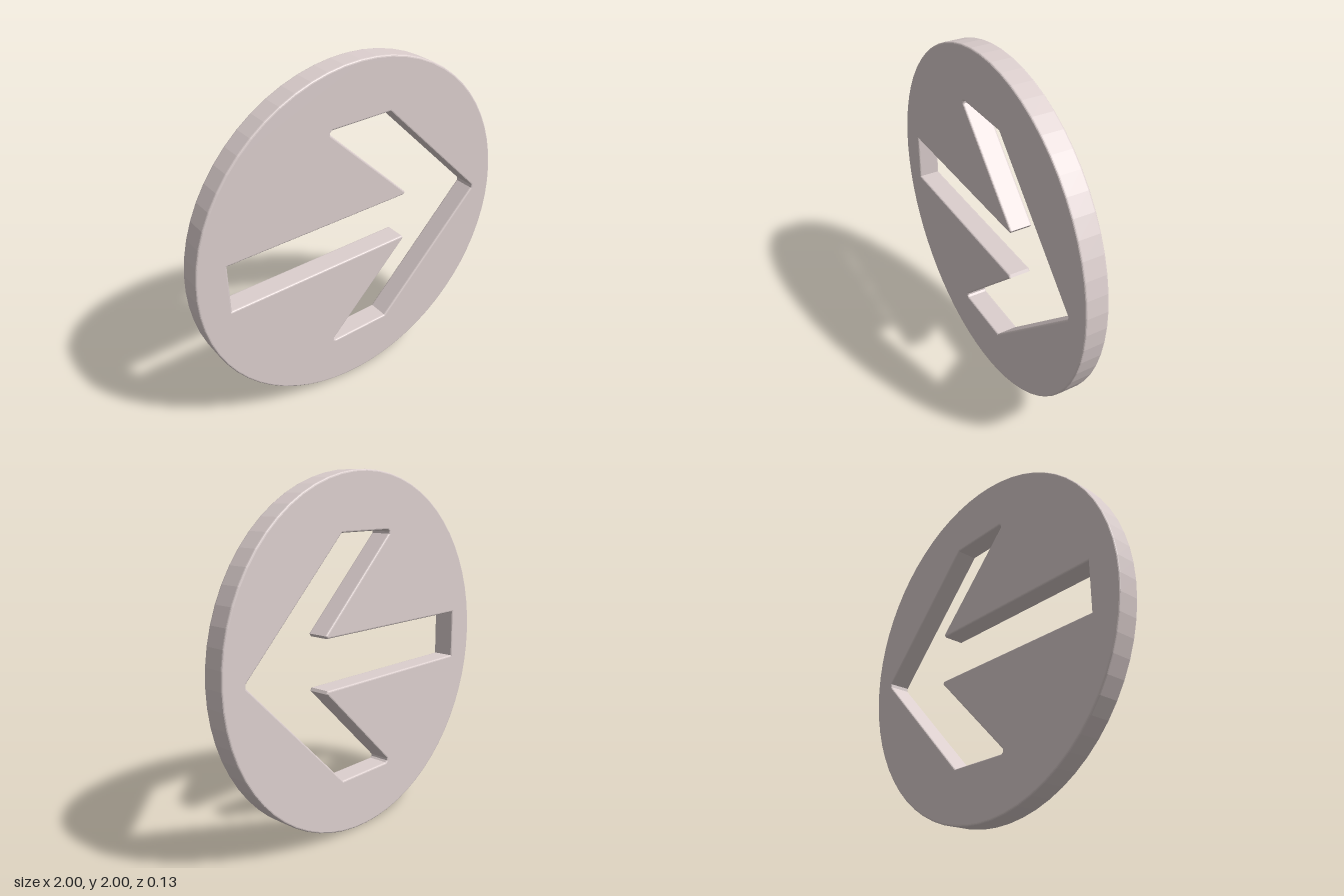
import * as THREE from 'three';

const THICKNESS = 0.13;
const BEVEL = 0.01;

// Arrow outline relative to the disc centre: upper half, mirrored for the lower
function arrowHole() {
  const upper = [
    [-0.82, 0.14], [0.308, 0.14], [0.318, 0.156], [-0.188, 0.656],
    [-0.188, 0.668], [-0.178, 0.678], [0.192, 0.678], [0.856, 0.01],
  ];
  const lower = upper.map(([x, y]) => [x, -y]).reverse();
  return new THREE.Path([...upper, ...lower].map(([x, y]) => new THREE.Vector2(x, y)));
}

export function createModel() {
  const model = new THREE.Group();
  model.name = 'arrowSign';

  // Round plate with the arrow cut through, edges slightly bevelled
  const shape = new THREE.Shape();
  shape.absarc(0, 0, 1, 0, Math.PI * 2, false);
  shape.holes.push(arrowHole());

  const geometry = new THREE.ExtrudeGeometry(shape, {
    depth: THICKNESS - 2 * BEVEL,
    curveSegments: 32,
    bevelEnabled: true,
    bevelThickness: BEVEL,
    bevelSize: BEVEL,
    bevelOffset: -BEVEL,
    bevelSegments: 3,
  });
  geometry.translate(0, 1, -THICKNESS / 2 + BEVEL);

  const plate = new THREE.Mesh(geometry, new THREE.MeshStandardMaterial({ color: 0xdccfce }));
  plate.name = 'arrowPlate';
  model.add(plate);
  return model;
}
